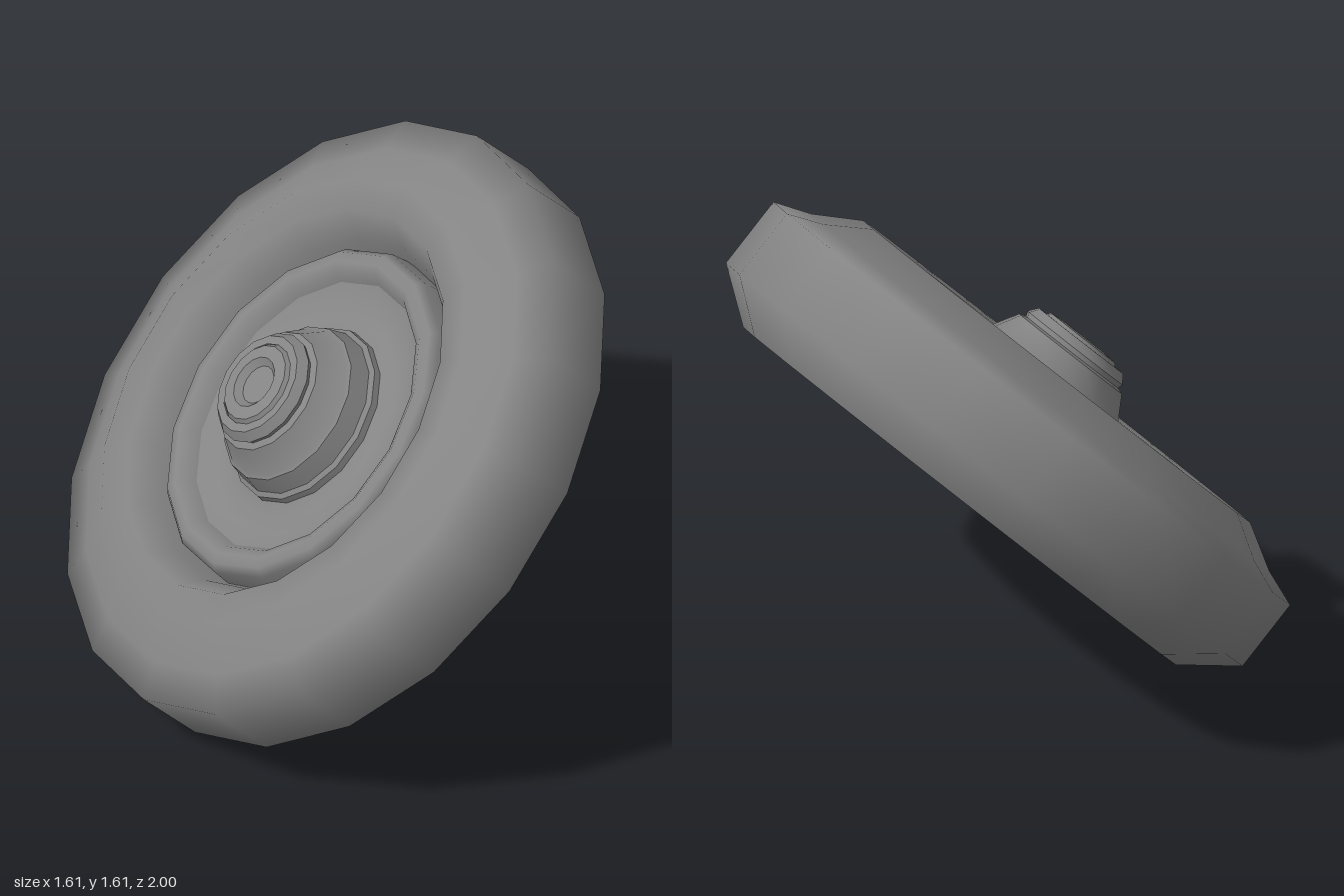
import * as THREE from 'three';
import { toCreasedNormals } from 'three/addons/utils/BufferGeometryUtils.js';

const material = new THREE.MeshStandardMaterial({ color: 0x848484, side: THREE.DoubleSide });

// Revolve [radius, height] pairs around the axle; crease splits hard edges
function turned(name, profile, sides, crease) {
  const points = profile.map(([r, h]) => new THREE.Vector2(r, h));
  let geometry = new THREE.LatheGeometry(points, sides, Math.PI / 2);
  if (crease) geometry = toCreasedNormals(geometry, crease);
  const mesh = new THREE.Mesh(geometry, material);
  mesh.name = name;
  return mesh;
}

export function createModel() {
  const wheel = new THREE.Group();
  wheel.name = 'wheel';

  // Tyre: flat tread, chamfered shoulders, sidewall and inner lip
  wheel.add(turned('tyre', [
    [0.85, -0.244], [1.0154, -0.12], [1.0154, 0.12], [0.9, 0.163],
    [0.76, 0.246], [0.66, 0.238], [0.6, 0.15], [0.57, 0.07],
  ], 18));

  // Flat disc closing the back
  wheel.add(turned('backPlate', [[0, -0.244], [0.85, -0.244]], 18));

  // Raised rim ring and the dish inside it
  wheel.add(turned('rimRing', [
    [0.575, 0.06], [0.566, 0.15], [0.545, 0.176], [0.51, 0.182], [0.48, 0.165], [0.46, 0.135],
  ], 16));
  wheel.add(turned('dish', [
    [0.46, 0.135], [0.4, 0.11], [0.34, 0.108], [0.29, 0.13],
  ], 16));

  // Stepped hub cone
  wheel.add(turned('hub', [
    [0.3, 0.1], [0.295, 0.15], [0.28, 0.16], [0.264, 0.225], [0.252, 0.232],
    [0.203, 0.315], [0.182, 0.322], [0.188, 0.338], [0.166, 0.367], [0.138, 0.367],
  ], 16, 0.6));

  // Axle cap with a shallow recess in its centre
  wheel.add(turned('axleCap', [
    [0.14, 0.36], [0.127, 0.378], [0.085, 0.382], [0.064, 0.362], [0, 0.362],
  ], 16, 0.6));

  // Lean the wheel so its axle points up to the side
  wheel.rotation.z = Math.PI / 4;
  wheel.position.y = 0.803;

  const model = new THREE.Group();
  model.name = 'tiltedWheel';
  model.add(wheel);
  return model;
}
